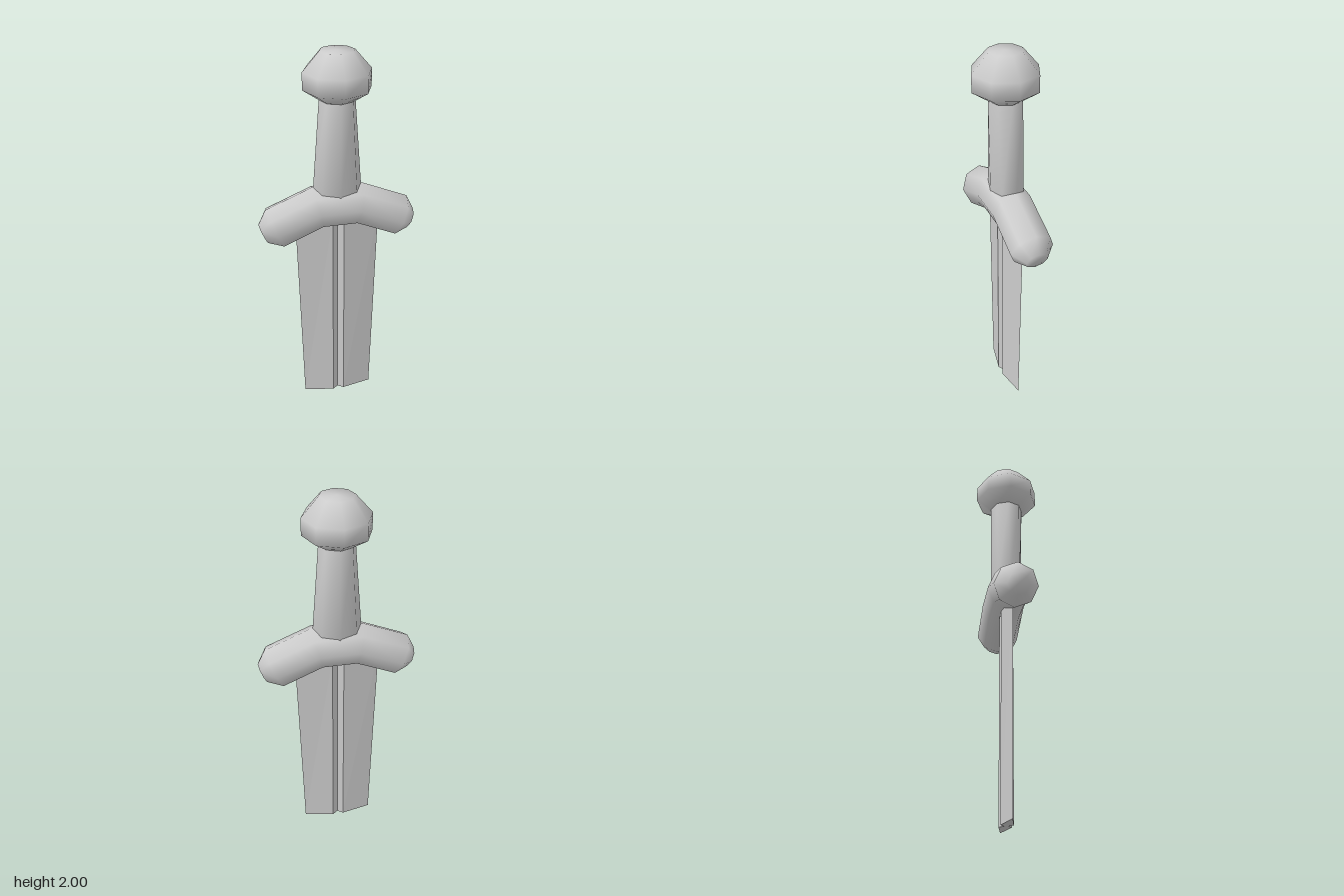
import * as THREE from 'three';

const SIDES = 8;

// Skins a list of equal-length rings (counter-clockwise about the direction of travel) and closes both ends.
function loft(rings) {
  const n = rings[0].length;
  const pts = rings.flat();
  const index = [];
  for (let i = 0; i < rings.length - 1; i++) {
    for (let j = 0; j < n; j++) {
      const k = (j + 1) % n;
      const a = i * n + j, b = i * n + k, c = b + n, d = a + n;
      index.push(a, b, c, a, c, d);
    }
  }
  const last = (rings.length - 1) * n;
  const centre = ring => ring.reduce((s, p) => s.add(p), new THREE.Vector3()).divideScalar(n);
  const start = pts.length, end = start + 1;
  const all = [...pts, centre(rings[0]), centre(rings[rings.length - 1])];
  for (let j = 0; j < n; j++) {
    const k = (j + 1) % n;
    index.push(start, k, j, end, last + j, last + k);
  }
  const geo = new THREE.BufferGeometry().setFromPoints(all);
  geo.setIndex(index);
  geo.computeVertexNormals();
  return geo;
}

// Horizontal elliptical ring
function flatRing(y, rx, rz) {
  return Array.from({ length: SIDES }, (_, i) => {
    const a = (i / SIDES) * Math.PI * 2;
    return new THREE.Vector3(Math.sin(a) * rx, y, Math.cos(a) * rz);
  });
}

// Upright ring crossing the guard, leaning by an angle
function guardRing(x, y, r, lean) {
  return Array.from({ length: SIDES }, (_, i) => {
    const a = (i / SIDES) * Math.PI * 2;
    const h = Math.cos(a) * r;
    return new THREE.Vector3(x + h * Math.sin(lean), y + h * Math.cos(lean), Math.sin(a) * r);
  });
}

// Double-edged section with a V groove down each face
function bladeRing(y, w) {
  const half = [[-w, 0], [-0.03, 0.032], [0, 0.01], [0.03, 0.032]];
  return [...half, ...half.map(([x, z]) => [-x, -z])].map(([x, z]) => new THREE.Vector3(x, y, z));
}

export function createModel() {
  const model = new THREE.Group();
  model.name = 'sword';
  const smooth = new THREE.MeshStandardMaterial({ color: 0xcccccc });
  const faceted = new THREE.MeshStandardMaterial({ color: 0xcccccc, flatShading: true });
  const add = (name, geo, mat) => {
    const mesh = new THREE.Mesh(geo, mat);
    mesh.name = name;
    model.add(mesh);
  };

  // Blunt-ended blade, widening towards the guard
  const blade = loft([bladeRing(0, 0.192), bladeRing(1.14, 0.22)]).toNonIndexed();
  blade.computeVertexNormals();
  add('blade', blade, faceted);

  // Drooping crossguard: one arm's stations [x, y, radius, lean], mirrored
  const arm = [[0.105, 1.205, 0.113, 0.21], [0.325, 1.112, 0.113, 0.42], [0.387, 1.084, 0.056, 0.42]];
  const left = arm.map(([x, y, r, l]) => guardRing(x, y, r, l));
  const right = arm.map(([x, y, r, l]) => guardRing(-x, y, r, -l)).reverse();
  add('crossguard', loft([...right, ...left]), smooth);

  // Grip: oval at the guard, round at the pommel
  add('grip', loft([flatRing(1.26, 0.128, 0.082), flatRing(1.79, 0.088, 0.088)]), smooth);

  // Pommel
  const profile = [[1.765, 0.085], [1.82, 0.168], [1.905, 0.168], [2, 0.085]];
  add('pommel', loft(profile.map(([y, r]) => flatRing(y, r, r))), smooth);

  // The sword stands turned on the diagonal
  model.rotation.y = Math.PI / 4;
  return model;
}
